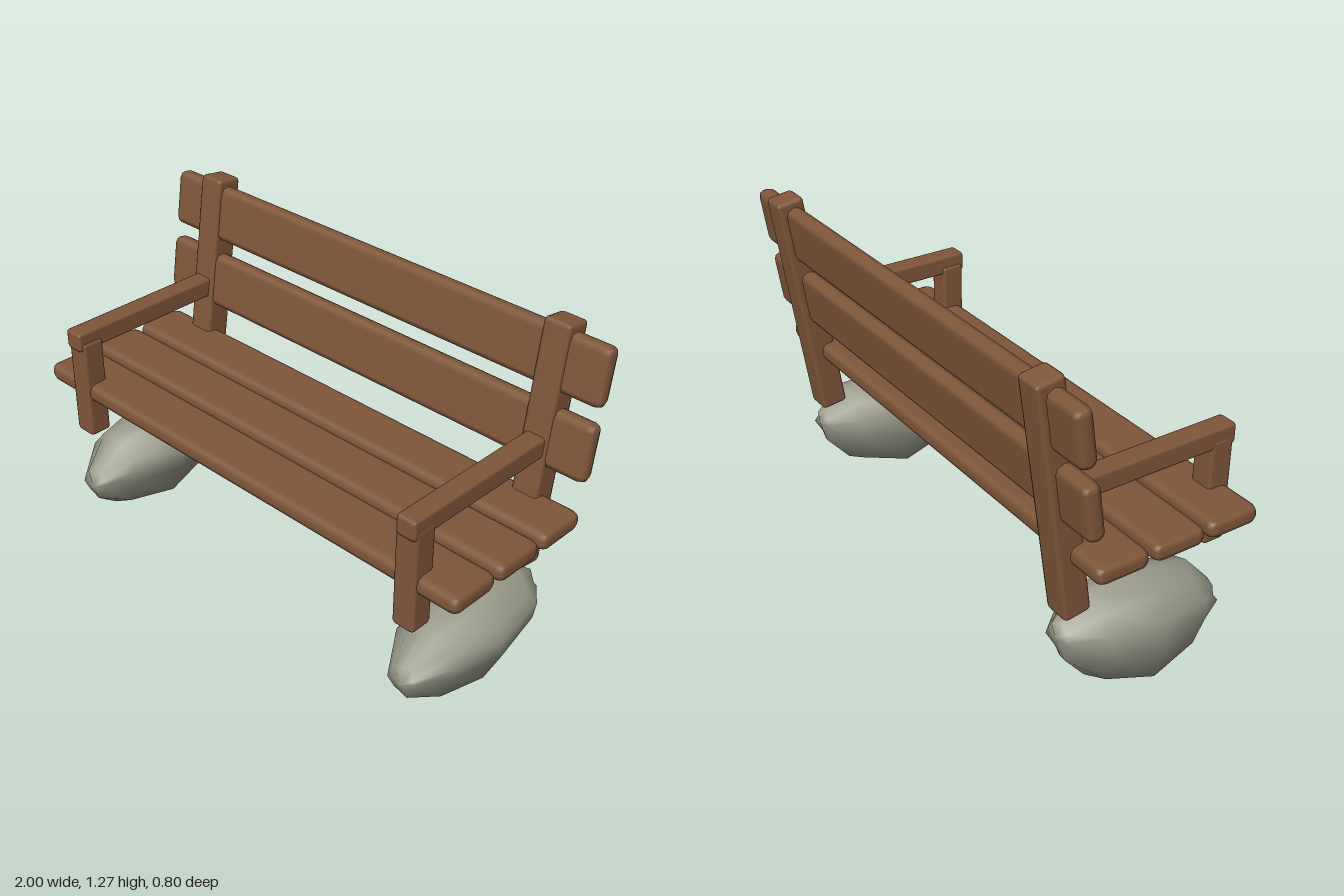
import * as THREE from 'three';
import { RoundedBoxGeometry } from 'three/addons/geometries/RoundedBoxGeometry.js';

const TILT = -0.146; // backward lean of the backrest

// Boulder lofted along z: one lumpy outline scaled to each ring
function boulderGeometry() {
  const outline = [
    [1, 0.3], [0.86, 0.54], [0.47, 0.91], [0, 1], [-0.62, 0.79], [-0.96, 0.44],
    [-0.99, -0.05], [-0.72, -0.79], [-0.08, -1], [0.59, -0.74], [0.98, -0.05],
  ];
  // z, bottom, top, half width
  const rings = [
    [0.37, 0.13, 0.25, 0.055], [0.26, 0.05, 0.37, 0.125], [0.06, 0.005, 0.415, 0.165],
    [-0.14, 0.08, 0.405, 0.14], [-0.25, 0.2, 0.32, 0.06],
  ];
  const n = outline.length;
  const pos = [];
  const index = [];
  rings.forEach(([z, low, high, w], k) => {
    outline.forEach(([u, v], i) => {
      const wobble = k === 2 ? 0 : 0.012 * Math.sin(i * 2.3 + k * 1.7);
      pos.push(u * w, (low + high) / 2 + (v * (high - low)) / 2, z + wobble);
    });
  });
  const front = pos.length / 3;
  pos.push(0, 0.18, 0.38, 0, 0.28, -0.268);
  const last = (rings.length - 1) * n;
  for (let i = 0; i < n; i++) {
    const j = (i + 1) % n;
    for (let k = 0; k < rings.length - 1; k++) {
      const a = k * n + i, b = k * n + j;
      index.push(a, a + n, b, b, a + n, b + n);
    }
    index.push(front, i, j, front + 1, last + j, last + i);
  }
  const g = new THREE.BufferGeometry();
  g.setAttribute('position', new THREE.Float32BufferAttribute(pos, 3));
  g.setIndex(index);
  g.computeVertexNormals();
  return g;
}

export function createModel() {
  const wood = new THREE.MeshStandardMaterial({ name: 'brown wood', color: 0x80573b });
  const stone = new THREE.MeshStandardMaterial({ name: 'grey stone', color: 0x9a9b8a });
  const bench = new THREE.Group();
  bench.name = 'bench';

  const beam = (name, size, position, bevel, tilt = 0) => {
    const mesh = new THREE.Mesh(new RoundedBoxGeometry(...size, 1, bevel), wood);
    mesh.name = name;
    mesh.position.set(...position);
    mesh.rotation.x = tilt;
    bench.add(mesh);
  };

  // Seat slats
  [0.28, 0.06, -0.16].forEach((z, i) =>
    beam(`seatSlat${i + 1}`, [2, 0.07, 0.2], [0, 0.621, z], 0.028));

  // Backrest slats
  [[1.128, -0.322], [0.864, -0.281]].forEach(([y, z], i) =>
    beam(`backSlat${i + 1}`, [2, 0.213, 0.066], [0, y, z], 0.028, TILT));

  const boulder = boulderGeometry();
  for (const [side, s] of [['left', 1], ['right', -1]]) {
    // Frame: leaning back post, front post and armrest
    beam(`${side}BackPost`, [0.105, 0.897, 0.105], [s * 0.8, 0.817, -0.282], 0.016, TILT);
    beam(`${side}FrontPost`, [0.09, 0.395, 0.09], [s * 0.8, 0.634, 0.345], 0.014);
    beam(`${side}Armrest`, [0.078, 0.076, 0.68], [s * 0.803, 0.837, 0.06], 0.012);

    // Supporting stone
    const rock = new THREE.Mesh(boulder, stone);
    rock.name = `${side}Stone`;
    rock.position.x = s * 0.798;
    if (s > 0) {
      rock.scale.y = 0.96;
      rock.position.y = 0.016;
    } else {
      rock.position.y = -0.004;
    }
    bench.add(rock);
  }
  return bench;
}
